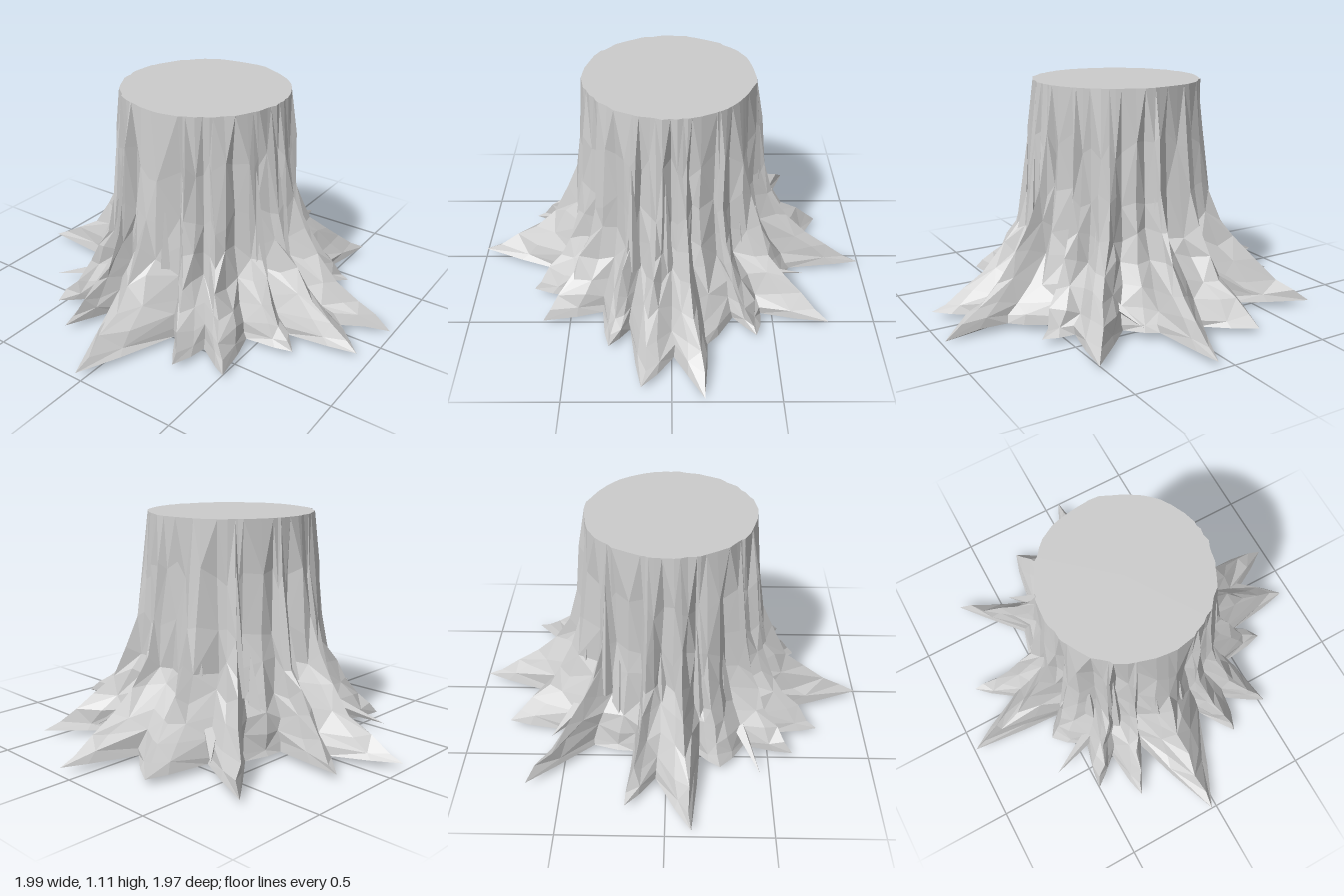
import * as THREE from 'three';

// Ground outline in order around the trunk: [x, z, isRootTip]
const OUTLINE = [
  [0.99, 0.08, 1], [0.62, 0.13, 0], [0.51, 0.26, 0], [0.77, 0.53, 1], [0.44, 0.47, 0],
  [0.41, 0.62, 1], [0.30, 0.50, 0], [0.17, 0.68, 0], [0.15, 0.98, 1], [0.01, 0.76, 0],
  [-0.14, 0.94, 1], [-0.20, 0.58, 0], [-0.30, 0.69, 1], [-0.34, 0.46, 0], [-0.63, 0.52, 1],
  [-0.52, 0.34, 0], [-0.70, 0.29, 1], [-0.52, 0.17, 0], [-1.00, -0.03, 1], [-0.52, -0.20, 0],
  [-0.76, -0.32, 1], [-0.50, -0.36, 0], [-0.62, -0.50, 1], [-0.38, -0.45, 0], [-0.26, -0.60, 1],
  [-0.16, -0.52, 0], [-0.12, -0.99, 1], [0.05, -0.68, 0], [0.19, -0.85, 1], [0.16, -0.50, 0],
  [0.36, -0.46, 0], [0.67, -0.72, 1], [0.50, -0.36, 0], [0.81, -0.29, 1], [0.65, -0.06, 0],
];

// Each level: height, trunk radius, share of root spread on ridges, share in valleys
const LEVELS = [
  [0.03, 0.46, 1.00, 1.00], [0.07, 0.46, 0.86, 0.93], [0.13, 0.46, 0.68, 0.75],
  [0.21, 0.46, 0.47, 0.45], [0.31, 0.455, 0.27, 0.20], [0.43, 0.45, 0.13, 0.03],
  [0.60, 0.44, 0.05, 0.00], [0.84, 0.425, 0.01, 0.00], [1.11, 0.41, 0.00, 0.00],
];
const GROUND = 0.03;

function makeRandom(seed) {
  return () => {
    seed = (seed * 16807) % 2147483647;
    return seed / 2147483647;
  };
}

// Separate corners per face give crisp facets
function faceted(geometry) {
  const flat = geometry.index ? geometry.toNonIndexed() : geometry;
  flat.computeVertexNormals();
  return flat;
}

function facesToGeometry(points) {
  return faceted(new THREE.BufferGeometry().setFromPoints(points));
}

// Vertical columns of points, one per outline point and one between each pair
function buildColumns() {
  const random = makeRandom(77);
  const jitter = (amount) => (random() - 0.5) * 2 * amount;
  const stations = [];
  OUTLINE.forEach(([x, z, tip], i) => {
    const [nx, nz, nextTip] = OUTLINE[(i + 1) % OUTLINE.length];
    stations.push({ x, z, ridge: tip, groove: tip ? -0.008 : 0.03 });
    const t = 0.5 + jitter(0.12);
    stations.push({
      x: (x + (nx - x) * t) * 1.02, z: (z + (nz - z) * t) * 1.02,
      ridge: (tip + nextTip) / 2, groove: jitter(0.012),
    });
  });

  return stations.map(({ x, z, ridge, groove }, s) => {
    const angle = Math.atan2(z, x);
    const reach = Math.hypot(x, z);
    return LEVELS.map(([y, radius, ridgeShare, valleyShare], k) => {
      const inner = k > 0 && k < LEVELS.length - 1;
      const share = valleyShare + (ridgeShare - valleyShare) * ridge;
      const depth = k > 3 && inner ? groove : 0;
      const r = radius + (reach - radius) * share - depth
        + (inner ? jitter(0.012) : k ? jitter(0.006) : 0);
      const a = angle + (inner ? jitter(0.018) : 0);
      // The front root dips a little below the rest
      const dip = k === 0 && ridge === 1 && z > 0.96 ? GROUND : 0;
      const height = y - dip + (inner ? jitter(0.012 + 0.06 * y) : 0);
      const shift = -0.01 * (1 - share);
      return new THREE.Vector3(Math.cos(a) * r + shift, height, Math.sin(a) * r + shift);
    });
  });
}

export function createModel() {
  const model = new THREE.Group();
  model.name = 'treeStump';
  const wood = new THREE.MeshStandardMaterial({ color: 0xcccccc });
  wood.name = 'greyWood';

  const add = (name, geometry) => {
    const mesh = new THREE.Mesh(geometry, wood);
    mesh.name = name;
    model.add(mesh);
    return mesh;
  };

  // Bark and roots, the cut top and the underside
  const columns = buildColumns();
  const bark = [], top = [], bottom = [];
  const last = LEVELS.length - 1;
  const topCentre = new THREE.Vector3(-0.01, 1.11, -0.01);
  const bottomCentre = new THREE.Vector3(0, GROUND, 0);
  columns.forEach((a, i) => {
    const b = columns[(i + 1) % columns.length];
    for (let k = 0; k < last; k++) {
      if ((i + k) % 2) bark.push(a[k], a[k + 1], b[k], b[k], a[k + 1], b[k + 1]);
      else bark.push(a[k], b[k + 1], b[k], a[k], a[k + 1], b[k + 1]);
    }
    top.push(topCentre, b[last], a[last]);
    bottom.push(bottomCentre, a[0], b[0]);
  });
  add('barkAndRoots', facesToGeometry(bark));
  add('cutTop', facesToGeometry(top));
  add('underside', facesToGeometry(bottom));

  // Slim pointed piece from a thick end to a sharp tip
  const up = new THREE.Vector3(0, 1, 0);
  function addSpike(name, from, to, width) {
    const start = new THREE.Vector3(...from);
    const end = new THREE.Vector3(...to);
    const dir = end.clone().sub(start);
    const mesh = add(name, faceted(new THREE.ConeGeometry(width, dir.length(), 4)));
    mesh.position.copy(start).add(end).multiplyScalar(0.5);
    mesh.quaternion.setFromUnitVectors(up, dir.normalize());
  }

  // Thin side roots
  addSpike('thinRoot', [-0.36, 0.12, -0.42], [-0.45, 0.05, -0.66], 0.035);
  addSpike('thinRoot', [0.45, 0.14, 0.27], [0.67, 0.10, 0.25], 0.025);
  addSpike('thinRoot', [0.42, 0.16, -0.3], [0.57, 0.08, -0.45], 0.05);

  // Bark slivers standing against the trunk: angle in degrees, base and tip height, width
  const slivers = [
    [4, 0.2, 0.66, 0.04], [40, 0.15, 0.55, 0.04], [66, 0.12, 0.4, 0.06], [92, 0.3, 0.8, 0.03],
    [113, 0.3, 0.85, 0.04], [140, 0.2, 0.7, 0.04], [171, 0.15, 0.68, 0.05], [190, 0.4, 0.83, 0.03],
    [215, 0.25, 0.85, 0.04], [232, 0.15, 0.6, 0.05], [250, 0.2, 0.75, 0.04], [272, 0.2, 0.6, 0.05],
    [300, 0.12, 0.5, 0.06], [309, 0.3, 0.9, 0.035], [332, 0.2, 0.7, 0.04],
  ];
  for (const [degrees, low, high, width] of slivers) {
    const a = THREE.MathUtils.degToRad(degrees);
    const at = (r, y, turn) => [Math.cos(a + turn) * r, y, Math.sin(a + turn) * r];
    addSpike('barkSliver', at(0.475, low, 0), at(0.43, high, 0.03), width);
  }
  return model;
}
